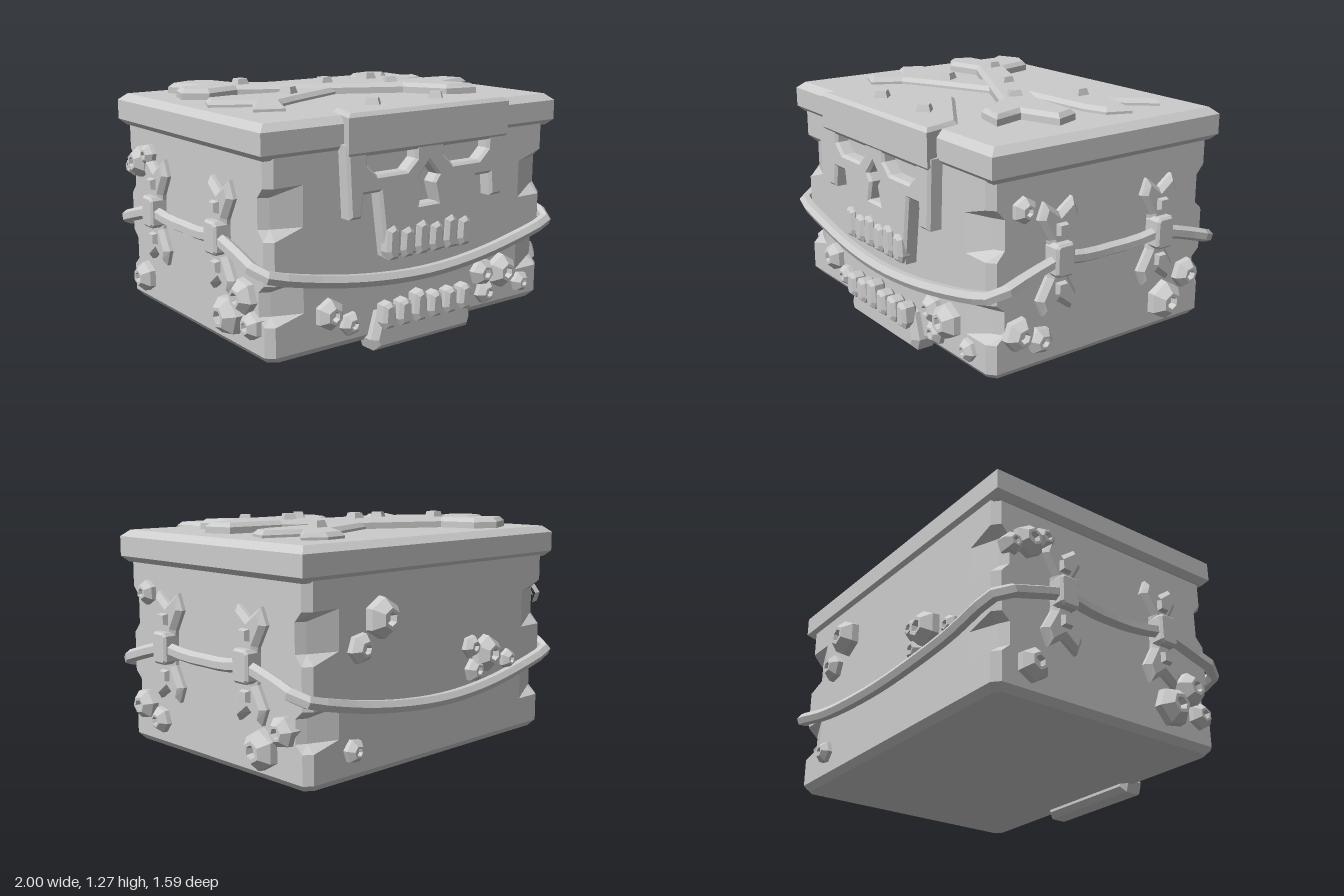
import * as THREE from 'three';

export function createModel() {
  const root = new THREE.Group();
  const stone = new THREE.MeshStandardMaterial({ color: 0xcccccc });
  stone.name = 'stoneGrey';

  // faceted mesh from any geometry
  function add(parent, name, geo) {
    const g = geo.index ? geo.toNonIndexed() : geo;
    g.computeVertexNormals();
    const m = new THREE.Mesh(g, stone);
    m.name = name;
    parent.add(m);
    return m;
  }

  // closed solid through stacked rings of [x, y, z] points
  function loft(rings) {
    const pos = [], n = rings[0].length;
    const tri = (...p) => p.forEach((v) => pos.push(...v));
    for (let r = 0; r < rings.length - 1; r++) {
      for (let i = 0; i < n; i++) {
        const j = (i + 1) % n, a = rings[r], b = rings[r + 1];
        tri(a[i], a[j], b[j]);
        tri(a[i], b[j], b[i]);
      }
    }
    const lo = rings[0], hi = rings[rings.length - 1];
    for (let i = 0; i < n; i++) {
      const j = (i + 1) % n;
      tri([0, lo[0][1], 0], lo[j], lo[i]);
      tri([0, hi[0][1], 0], hi[i], hi[j]);
    }
    const g = new THREE.BufferGeometry();
    g.setAttribute('position', new THREE.Float32BufferAttribute(pos, 3));
    return g;
  }

  // ring mirrored from the points of one quadrant, listed from +x to +z
  function quadRing(y, q) {
    const back = [...q].reverse();
    return [
      ...q.map(([x, z]) => [x, y, -z]), ...back.map(([x, z]) => [-x, y, -z]),
      ...q.map(([x, z]) => [-x, y, z]), ...back.map(([x, z]) => [x, y, z]),
    ];
  }

  // bevelled plate, its back at z = 0
  const toVec = (pts) => pts.map(([x, y]) => new THREE.Vector2(x, y));
  function plate(pts, depth, bevel, holes = []) {
    const s = new THREE.Shape(toVec(pts));
    holes.forEach((h) => s.holes.push(new THREE.Path(toVec(h))));
    const g = new THREE.ExtrudeGeometry(s, {
      depth: depth - bevel, bevelEnabled: true, bevelThickness: bevel,
      bevelSize: bevel, bevelOffset: -bevel, bevelSegments: 1,
    });
    return g;
  }
  // plate lying flat, given as [x, z]
  const flatPlate = (pts, depth, bevel) =>
    plate(pts.map(([x, z]) => [x, -z]), depth, bevel).rotateX(-Math.PI / 2);

  const stud = (r) => new THREE.CylinderGeometry(r * 0.68, r, 0.045, 4).rotateY(Math.PI / 4);

  // Box with chipped corner notches
  const rows = [[0.08, 0], [0.23, 0], [0.27, 1], [0.39, 1], [0.43, 0],
    [0.64, 0], [0.69, 1], [0.84, 1], [0.89, 0], [1.04, 0]];
  const bodyRings = [quadRing(0.045, [[0.88, 0.64], [0.84, 0.67], [0.71, 0.67]])];
  rows.forEach(([y, cut]) => bodyRings.push(quadRing(y, cut
    ? [[0.91, 0.62], [0.86, 0.645], [0.71, 0.7]]
    : [[0.91, 0.665], [0.87, 0.7], [0.71, 0.7]])));
  add(root, 'chestBody', loft(bodyRings));

  // Lid
  add(root, 'lid', loft([[1.02, 0.03], [1.05, 0], [1.155, 0], [1.19, 0.04]]
    .map(([y, i]) => quadRing(y, [[0.95 - i, 0.72 - i]]))));

  // Pointed clasp plate over the lid edge
  add(root, 'claspTop', flatPlate(
    [[-0.51, 0.785], [-0.44, 0.57], [-0.01, 0.26], [0.47, 0.57], [0.53, 0.785]], 0.19, 0.02))
    .position.y = 1.02;

  // Skull face with eye and keyhole openings
  const eye = (c) => [[-0.15, 1.02], [0.15, 1.02], [0.15, 0.955], [0.09, 0.9], [-0.09, 0.9], [-0.15, 0.955]]
    .map(([x, y]) => [x + c, y]);
  const keyhole = [[0, 0.93], [-0.06, 0.86], [-0.03, 0.82], [-0.055, 0.72],
    [0.06, 0.72], [0.03, 0.82], [0.06, 0.86]];
  add(root, 'skullFace', plate([[-0.51, 1.06], [-0.49, 0.7], [-0.42, 0.7], [-0.405, 0.815],
    [-0.31, 0.815], [-0.265, 0.48], [0.275, 0.46], [0.325, 0.82], [0.42, 0.82], [0.43, 0.7],
    [0.51, 0.7], [0.53, 1.06]], 0.08, 0.014, [eye(-0.235), eye(0.25), keyhole]))
    .position.z = 0.695;

  // Jaw and teeth
  add(root, 'lowerJaw', plate([[-0.33, 0.06], [-0.31, 0], [0.32, 0], [0.34, 0.06],
    [0.3, 0.2], [-0.29, 0.2]], 0.12, 0.03)).position.z = 0.64;
  const tooth = (h) => [[-0.042, h * 0.25], [-0.025, 0], [0.03, 0], [0.044, h * 0.25],
    [0.038, h * 0.85], [0.01, h], [-0.036, h * 0.9]];
  [-0.235, -0.14, -0.045, 0.05, 0.145, 0.24].forEach((x, i) => {
    const up = add(root, 'upperTooth', plate(tooth(i % 2 ? 0.15 : 0.17), 0.06, 0.018));
    up.position.set(x, 0.47, 0.74);
    const low = add(root, 'lowerTooth', plate(tooth(i === 2 ? 0.16 : 0.135), 0.07, 0.018));
    low.position.set(x * 1.08, 0.12, 0.73);
  });

  // Crossed bones on the lid
  const boneA = [[-0.4, -0.37], [0.41, 0.03], [0.73, 0.06], [0.78, 0.2], [0.57, 0.27], [0.62, 0.45],
    [0.44, 0.41], [0.31, 0.2], [-0.49, -0.22], [-0.69, -0.17], [-0.81, -0.25], [-0.77, -0.38],
    [-0.62, -0.39], [-0.73, -0.55], [-0.57, -0.62], [-0.45, -0.56]];
  const boneB = [[-0.79, -0.04], [-0.64, -0.05], [-0.4, -0.01], [0.38, -0.34], [0.5, -0.53],
    [0.63, -0.55], [0.75, -0.49], [0.59, -0.31], [0.79, -0.26], [0.74, -0.13], [0.62, -0.09],
    [0.17, -0.06], [-0.4, 0.2], [-0.53, 0.27], [-0.61, 0.42], [-0.76, 0.36], [-0.66, 0.2], [-0.85, 0.09]];
  add(root, 'upperBone', flatPlate(boneA, 0.065, 0.022)).position.y = 1.18;
  add(root, 'lowerBone', flatPlate(boneB, 0.045, 0.022)).position.y = 1.18;

  // Lid studs: x, z, base height, turn
  [[-0.43, -0.29, 1.24, 0], [0.41, -0.24, 1.225, 0], [-0.02, -0.08, 1.24, 0], [-0.36, 0.07, 1.225, 0.45],
    [0.3, 0.1, 1.24, -0.45], [-0.21, 0.585, 1.21, 0.785], [0.2, 0.585, 1.21, 0.785]]
    .forEach(([x, z, y, turn]) => {
      const s = add(root, 'lidStud', stud(0.056));
      s.position.set(x, y + 0.012, z);
      s.rotation.y = turn;
    });

  // Sagging rope around the box
  const quarter = [[0.94, 0.578, 0], [0.945, 0.58, 0.15], [0.955, 0.6, 0.325], [0.955, 0.55, 0.53],
    [0.95, 0.5, 0.69], [0.91, 0.485, 0.72], [0.6, 0.415, 0.735], [0.3, 0.375, 0.75], [0, 0.36, 0.755]];
  const half = [...quarter, ...quarter.slice(0, -1).reverse().map(([x, y, z]) => [-x, y, z])];
  const loop = [...half, ...half.slice(1, -1).reverse().map(([x, y, z]) => [x, y, -z])];
  const path = new THREE.CatmullRomCurve3(loop.map((p) => new THREE.Vector3(...p)), true);
  add(root, 'rope', new THREE.TubeGeometry(path, 72, 0.035, 6, true));

  // Barnacle: six-sided cone with a crater
  const barnacle = (r) => new THREE.LatheGeometry(toVec([[r, -0.03], [r * 0.92, r * 0.35],
    [r * 0.5, r * 0.8], [r * 0.32, r * 0.8], [r * 0.22, r * 0.5], [0.001, r * 0.5]]), 6)
    .rotateX(Math.PI / 2);

  // Walls: turn, distance, barnacles as [across, height, radius]
  const walls = [
    ['front', 0, 0.7, [[-0.57, 0.24, 0.085], [-0.44, 0.165, 0.065], [0.44, 0.27, 0.08],
      [0.58, 0.255, 0.1], [0.47, 0.155, 0.07], [0.74, 0.16, 0.062]]],
    ['rightSide', Math.PI / 2, 0.91, [[-0.52, 0.87, 0.07], [-0.55, 0.265, 0.09],
      [-0.42, 0.2, 0.075], [0.4, 0.205, 0.11], [0.55, 0.32, 0.085]]],
    ['back', Math.PI, 0.7, [[-0.44, 0.82, 0.11], [-0.58, 0.69, 0.08], [-0.62, 0.2, 0.065],
      [0.37, 0.54, 0.105], [0.25, 0.59, 0.065], [0.28, 0.46, 0.07], [0.57, 0.48, 0.06]]],
    ['leftSide', -Math.PI / 2, 0.91, [[-0.52, 0.84, 0.09], [-0.42, 0.89, 0.065], [-0.61, 0.8, 0.06],
      [-0.5, 0.2, 0.09], [0.38, 0.22, 0.11], [0.52, 0.35, 0.095], [0.58, 0.22, 0.075]]],
  ];
  const wing = [[-0.05, 0.05], [0.055, 0.05], [0.06, 0.09], [0.122, 0.2], [0.085, 0.285],
    [0, 0.225], [-0.083, 0.285], [-0.118, 0.2], [-0.055, 0.09]];
  const block = [[-0.057, -0.065], [-0.04, -0.083], [0.04, -0.083], [0.057, -0.065],
    [0.057, 0.065], [0.04, 0.083], [-0.04, 0.083], [-0.057, 0.065]];
  walls.forEach(([name, turn, dist, spots]) => {
    const wall = new THREE.Group();
    wall.name = name + 'Details';
    wall.rotation.y = turn;
    root.add(wall);
    spots.forEach(([u, y, r], i) => {
      const b = add(wall, 'barnacle', barnacle(r));
      b.position.set(u, y, dist);
      b.rotation.z = i * 0.7;
    });
    if (dist < 0.9) return;
    // Rope clamps with heart-shaped wings
    [-0.325, 0.325].forEach((u) => {
      const clamp = new THREE.Group();
      clamp.name = 'ropeClamp';
      clamp.position.set(u, 0.605, 0.9);
      wall.add(clamp);
      add(clamp, 'clampBlock', plate(block, 0.1, 0.012));
      [0, Math.PI].forEach((flip) => {
        const w = new THREE.Group();
        w.name = 'clampWing';
        w.rotation.z = flip;
        clamp.add(w);
        add(w, 'wingPlate', plate(wing, 0.055, 0.025));
        add(w, 'wingStud', stud(0.048).rotateX(Math.PI / 2)).position.set(0, 0.147, 0.06);
      });
    });
  });
  return root;
}
